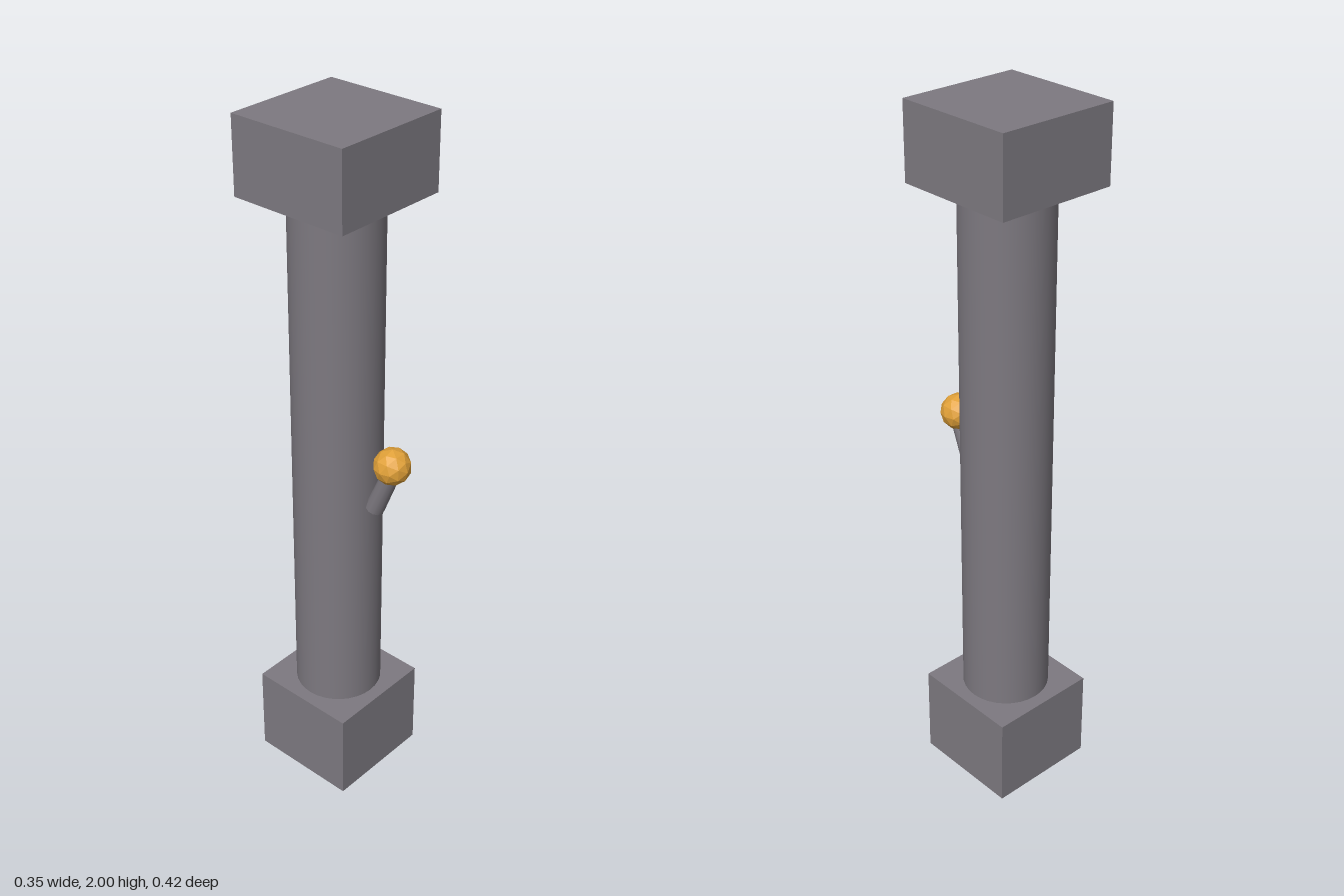
import * as THREE from 'three';

export function createModel() {
  const group = new THREE.Group();
  const stone = new THREE.MeshStandardMaterial({ color: 0x7d7980 });
  const flame = new THREE.MeshStandardMaterial({ color: 0xe0a038, flatShading: true });
  const axisZ = -0.035; // the pillar sits slightly back so the torch fits the centred bounds

  const add = (name, geometry, material, y, z) => {
    const mesh = new THREE.Mesh(geometry, material);
    mesh.name = name;
    mesh.position.set(0, y, z);
    group.add(mesh);
    return mesh;
  };

  // Pillar: square base, round shaft, square capital
  add('base', new THREE.BoxGeometry(0.324, 0.27, 0.324), stone, 0.135, axisZ);
  add('shaft', new THREE.CylinderGeometry(0.125, 0.125, 1.56, 32), stone, 1.03, axisZ);
  add('capital', new THREE.BoxGeometry(0.352, 0.21, 0.352), stone, 1.895, axisZ);

  // Torch: tilted handle with a faceted flame at its tip
  const handle = add('torchHandle', new THREE.CylinderGeometry(0.024, 0.027, 0.16, 12), stone, 1.001, 0.131);
  handle.rotation.x = 0.4;
  add('torchFlame', new THREE.IcosahedronGeometry(0.052, 1), flame, 1.085, 0.158);

  return group;
}
